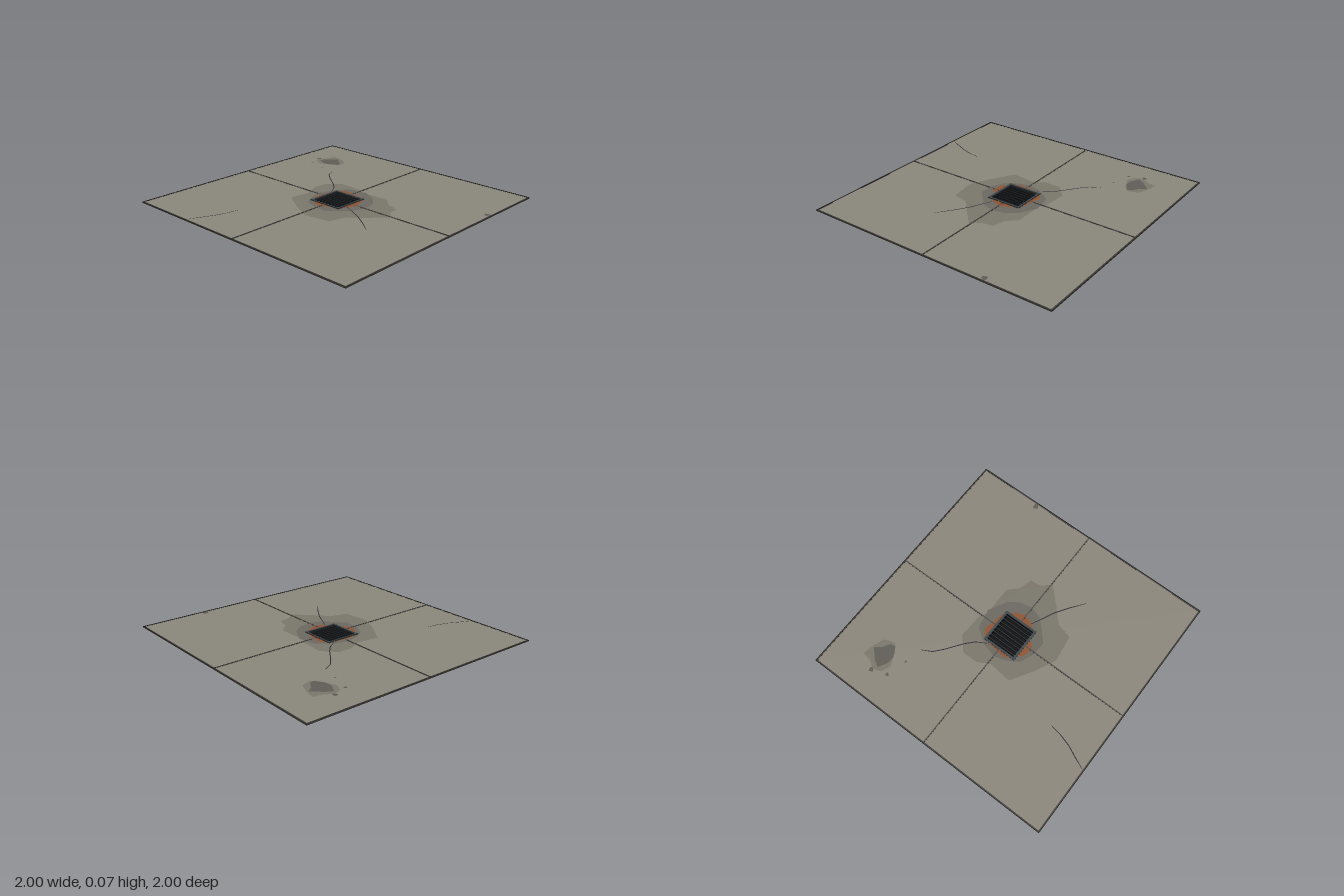
import * as THREE from 'three';

const TOP = 0.066;   // height of the paved surface
const PIT = 0.125;   // half size of the drain opening

const mat = (color, side = THREE.FrontSide) => {
  const m = new THREE.MeshStandardMaterial({ color });
  m.side = side;
  return m;
};
const concrete = mat(0x8a867b);
const underside = mat(0x55524a);
const pitWall = mat(0x645f58);
const black = mat(0x0a0a0b, THREE.BackSide);
const blackFloor = mat(0x0a0a0b);
const iron = mat(0x40484c);
const barIron = mat(0x2a2f33);
const joint = mat(0x504f4c);
const trim = mat(0x403d38);
const damp = mat(0x7a766b);
const wet = mat(0x6b6860);
const grime = mat(0x605d57);
const rust = mat(0x8e5433);
const crackMat = mat(0x2b2a32, THREE.DoubleSide);

// Shape on the ground from [x, z] points, optionally with the drain opening cut out
function groundShape(points, hole) {
  const toV = ([x, z]) => new THREE.Vector2(x, -z);
  const shape = new THREE.Shape(points.map(toV));
  if (hole) shape.holes.push(new THREE.Path(square(PIT).map(toV)));
  return shape;
}
const square = (h) => [[-h, -h], [h, -h], [h, h], [-h, h]];

export function createModel() {
  const root = new THREE.Group();
  const add = (parent, name, geometry, material, x = 0, y = 0, z = 0) => {
    const mesh = new THREE.Mesh(geometry, material);
    mesh.name = name;
    mesh.position.set(x, y, z);
    parent.add(mesh);
    return mesh;
  };
  const group = (name) => {
    const g = new THREE.Group();
    g.name = name;
    root.add(g);
    return g;
  };
  const box = (w, h, d) => new THREE.BoxGeometry(w, h, d);

  // Paving slab: dark body with a light top layer, both open over the drain
  const layer = (name, y, depth, material) => {
    const g = new THREE.ExtrudeGeometry(groundShape(square(1), true), { depth, bevelEnabled: false });
    add(root, name, g.rotateX(-Math.PI / 2), material, 0, y);
  };
  layer('slabBody', 0.059, 0.005, underside);
  layer('slabTop', 0.064, TOP - 0.064, concrete);

  // Dark trim around the rim
  const rim = group('slabRim');
  for (const s of [-1, 1]) {
    add(rim, 'rimStrip', box(2, 0.002, 0.012), trim, 0, TOP, s * 0.994);
    add(rim, 'rimStrip', box(0.012, 0.002, 1.976), trim, s * 0.994, TOP, 0);
  }

  // Stains lie just above the slab
  const stains = group('stains');
  const stain = (name, points, lift, material, hole = false) => {
    const g = new THREE.ShapeGeometry(groundShape(points, hole)).rotateX(-Math.PI / 2);
    add(stains, name, g, material, 0, TOP + lift);
  };
  stain('dampPatch', [
    [-0.21, -0.28], [-0.02, -0.27], [0.03, -0.24], [0.27, -0.24], [0.34, -0.17], [0.44, -0.14],
    [0.45, -0.06], [0.51, 0.01], [0.39, 0.13], [0.28, 0.23], [0.25, 0.35], [0.05, 0.38],
    [-0.10, 0.31], [-0.28, 0.20], [-0.26, 0.02], [-0.31, -0.07], [-0.31, -0.19],
  ], 0.0005, damp, true);
  stain('wetPatch', [
    [-0.09, -0.22], [0.06, -0.25], [0.19, -0.18], [0.25, -0.10], [0.27, 0.0], [0.24, 0.09],
    [0.17, 0.16], [0.09, 0.23], [-0.02, 0.22], [-0.12, 0.18], [-0.17, 0.10], [-0.20, 0.0], [-0.17, -0.11],
  ], 0.001, wet, true);
  const rustPatches = [
    [[0.128, -0.10], [0.155, -0.09], [0.193, -0.01], [0.17, 0.06], [0.128, 0.11]],
    [[-0.128, -0.11], [-0.145, -0.08], [-0.155, -0.01], [-0.162, 0.06], [-0.128, 0.125]],
    [[-0.125, -0.128], [-0.11, -0.155], [-0.06, -0.178], [0.02, -0.16], [0.11, -0.142], [0.11, -0.128]],
    [[-0.11, 0.128], [-0.07, 0.17], [-0.02, 0.185], [0.03, 0.175], [0.065, 0.128]],
  ];
  rustPatches.forEach((p) => stain('rustStain', p, 0.0015, rust));
  stain('grimeHalo', [
    [-0.75, -0.76], [-0.66, -0.74], [-0.58, -0.71], [-0.55, -0.63], [-0.61, -0.58],
    [-0.71, -0.54], [-0.78, -0.57], [-0.80, -0.63], [-0.76, -0.69],
  ], 0.0005, damp);
  stain('grimeSpot', [
    [-0.67, -0.73], [-0.63, -0.68], [-0.58, -0.65], [-0.57, -0.61], [-0.64, -0.57],
    [-0.70, -0.57], [-0.77, -0.61], [-0.74, -0.66],
  ], 0.001, grime);
  const drops = [[-0.81, -0.635, 0.018], [-0.77, -0.52, 0.013], [-0.615, -0.475, 0.009], [0.965, -0.485, 0.022]];
  for (const [x, z, r] of drops) {
    const ring = [...Array(7).keys()].map((i) => {
      const a = (i / 7) * Math.PI * 2;
      const k = r * (i % 2 ? 0.85 : 1.1);
      return [x + Math.cos(a) * k, z + Math.sin(a) * k];
    });
    stain('grimeDrop', ring, 0.001, grime);
  }

  // Expansion joints run from the drain to the rim
  const joints = group('expansionJoints');
  for (const s of [-1, 1]) {
    add(joints, 'jointAcross', box(0.85, 0.002, 0.009), joint, s * 0.563, TOP + 0.001, 0);
    add(joints, 'jointAlong', box(0.009, 0.002, 0.85), joint, 0, TOP + 0.001, s * 0.563);
  }

  // Cracks: flat ribbons that narrow toward the ends
  const cracks = group('cracks');
  const cracksPaths = [
    [[-0.48, -0.445], [-0.44, -0.37], [-0.37, -0.31], [-0.26, -0.23], [-0.195, -0.17], [-0.15, -0.095]],
    [[0.16, 0.068], [0.245, 0.11], [0.33, 0.15], [0.43, 0.215], [0.54, 0.297]],
    [[-0.48, 0.985], [-0.44, 0.895], [-0.40, 0.81], [-0.375, 0.725], [-0.36, 0.635]],
  ];
  for (const path of cracksPaths) {
    const left = [], right = [];
    path.forEach(([x, z], i) => {
      const a = path[Math.max(i - 1, 0)], b = path[Math.min(i + 1, path.length - 1)];
      const dx = b[0] - a[0], dz = b[1] - a[1], len = Math.hypot(dx, dz);
      const w = i === 0 || i === path.length - 1 ? 0.0018 : 0.0035;
      left.push([x - (dz / len) * w, z + (dx / len) * w]);
      right.unshift([x + (dz / len) * w, z - (dx / len) * w]);
    });
    const g = new THREE.ShapeGeometry(groundShape([...left, ...right])).rotateX(-Math.PI / 2);
    add(cracks, 'crack', g, crackMat, 0, TOP + 0.002);
  }

  // Drain pit: outer walls, black floor and dark lining seen through the grate
  const pit = group('drainPit');
  for (const s of [-1, 1]) {
    add(pit, 'pitWall', box(0.274, 0.059, 0.011), pitWall, 0, 0.0305, s * 0.1315);
    add(pit, 'pitWall', box(0.011, 0.059, 0.252), pitWall, s * 0.1315, 0.0305, 0);
  }
  add(pit, 'pitFloor', box(0.274, 0.002, 0.274), blackFloor, 0, 0.001);
  add(pit, 'pitLining', box(0.248, 0.06, 0.248), black, 0, 0.034);

  // Grate: square frame with bars running front to back
  const grate = group('grate');
  for (const s of [-1, 1]) {
    add(grate, 'frameRail', box(0.276, 0.008, 0.02), iron, 0, TOP, s * 0.128);
    add(grate, 'frameRail', box(0.02, 0.008, 0.236), iron, s * 0.128, TOP, 0);
  }
  for (let i = -3.5; i <= 3.5; i++) {
    add(grate, 'grateBar', box(0.012, 0.01, 0.238), barIron, i * 0.03, TOP - 0.002, 0);
  }
  return root;
}
